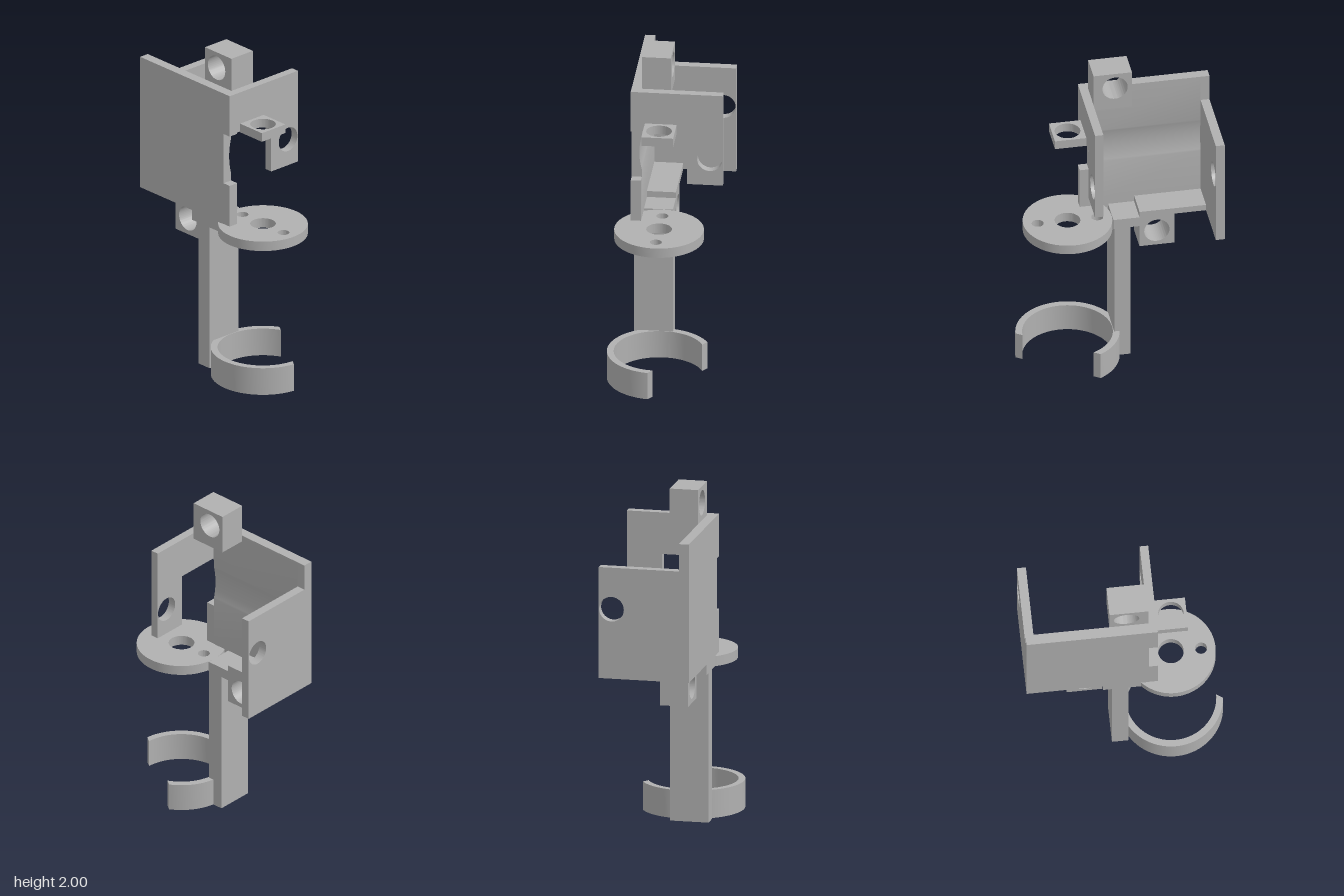
import * as THREE from 'three';
import { toCreasedNormals } from 'three/addons/utils/BufferGeometryUtils.js';

const grey = new THREE.MeshStandardMaterial({ color: 0xb0b0b0 });
grey.name = 'plain grey';

export function createModel() {
  const model = new THREE.Group();
  model.name = 'bracketHolder';

  const add = (name, geometry) => {
    const mesh = new THREE.Mesh(geometry, grey);
    mesh.name = name;
    model.add(mesh);
    return mesh;
  };
  // Box given by its limits on each axis
  const box = (name, x0, x1, y0, y1, z0, z1) => {
    const g = new THREE.BoxGeometry(x1 - x0, y1 - y0, z1 - z0);
    g.translate((x0 + x1) / 2, (y0 + y1) / 2, (z0 + z1) / 2);
    return add(name, g);
  };
  const polygon = (pts) => new THREE.Shape(pts.map(([x, y]) => new THREE.Vector2(x, y)));
  const rect = (x0, x1, y0, y1) => polygon([[x0, y0], [x1, y0], [x1, y1], [x0, y1]]);
  const drill = (shape, x, y, r) => {
    shape.holes.push(new THREE.Path().absarc(x, y, r, 0, Math.PI * 2, true));
    return shape;
  };
  // Extrude along one axis from a to b. Shape coordinates are
  // (x, y) for z, (x, -z) for y and (-z, y) for x.
  const extrude = (name, shape, axis, a, b) => {
    const g = new THREE.ExtrudeGeometry(shape, { depth: b - a, bevelEnabled: false, curveSegments: 48 });
    g.translate(0, 0, a);
    if (axis === 'x') g.rotateY(Math.PI / 2);
    if (axis === 'y') g.rotateX(-Math.PI / 2);
    return add(name, toCreasedNormals(g, 0.5));
  };

  // Front plate: hollowed inside by a shallow cylinder, notched at its left edge
  const plate = polygon([[-0.205, 0.962], [-0.145, 0.962]]);
  const half = Math.asin(0.11 / 0.418);
  for (let i = 0; i <= 20; i++) {
    const t = -half + (2 * half * i) / 20;
    plate.lineTo(0.258 - 0.418 * Math.cos(t), 1.38 + 0.418 * Math.sin(t));
  }
  plate.lineTo(-0.145, 1.795);
  plate.lineTo(-0.205, 1.795);
  extrude('frontPlate', plate, 'x', -0.535, 0.13);
  box('plateRightEdge', -0.588, -0.535, 0.962, 1.795, 0.145, 0.205);
  box('plateLeftEdgeLower', 0.13, 0.183, 0.962, 1.222, 0.145, 0.205);
  box('plateLeftEdgeUpper', 0.13, 0.183, 1.537, 1.795, 0.145, 0.205);

  // Side walls with pivot holes
  const leftWall = polygon([[-0.145, 1.545], [0.125, 1.545], [0.125, 1.215],
    [0.336, 1.215], [0.336, 1.795], [-0.145, 1.795]]);
  extrude('leftWall', drill(leftWall, 0.259, 1.38, 0.074), 'x', 0.133, 0.183);
  const rightWall = rect(-0.145, 0.336, 0.962, 1.63);
  extrude('rightWall', drill(rightWall, 0.259, 1.38, 0.074), 'x', -0.588, -0.535);

  // Drilled blocks above and below the plate, and the floor ledge
  extrude('topBlock', drill(rect(-0.095, 0.133, 1.757, 2), 0.005, 1.9, 0.075), 'z', -0.025, 0.145);
  extrude('lowerBlock', drill(rect(-0.347, -0.14, 0.757, 0.962), -0.243, 0.857, 0.075), 'z', -0.025, 0.145);
  box('floorLedge', -0.535, -0.14, 0.962, 1.0, -0.025, 0.145);

  // Small side shelf with a hole
  extrude('sideShelf', drill(rect(0.183, 0.37, -0.122, 0.065), 0.278, -0.028, 0.075), 'y', 1.54, 1.595);

  // Base bar and column
  box('baseBar', -0.14, 0.015, 0.9, 0.962, -0.025, 0.205);
  box('baseBarEnd', 0.015, 0.115, 0.9, 0.964, 0.145, 0.205);
  box('column', -0.087, 0.01, 0, 0.9, -0.025, 0.205);

  // Round flange with three holes
  const flange = new THREE.Shape().absarc(0.278, -0.028, 0.262, 0, Math.PI * 2, false);
  drill(flange, 0.278, -0.028, 0.075);
  for (const s of [-1, 1]) drill(flange, 0.278 + s * 0.177, -0.028, 0.035);
  extrude('flange', flange, 'y', 0.9, 0.96);

  // Open ring clip, cut off along a straight chord
  const open = 0.98, ro = 0.305, ri = 0.265, chord = 0.14;
  const ao = Math.acos(chord / ro), ai = Math.acos(chord / ri);
  const clip = new THREE.Shape();
  clip.absarc(0.278, -0.028, ro, open + ao, open - ao + Math.PI * 2, false);
  clip.absarc(0.278, -0.028, ri, open - ai + Math.PI * 2, open + ai, true);
  extrude('ringClip', clip, 'y', 0, 0.17);

  return model;
}
